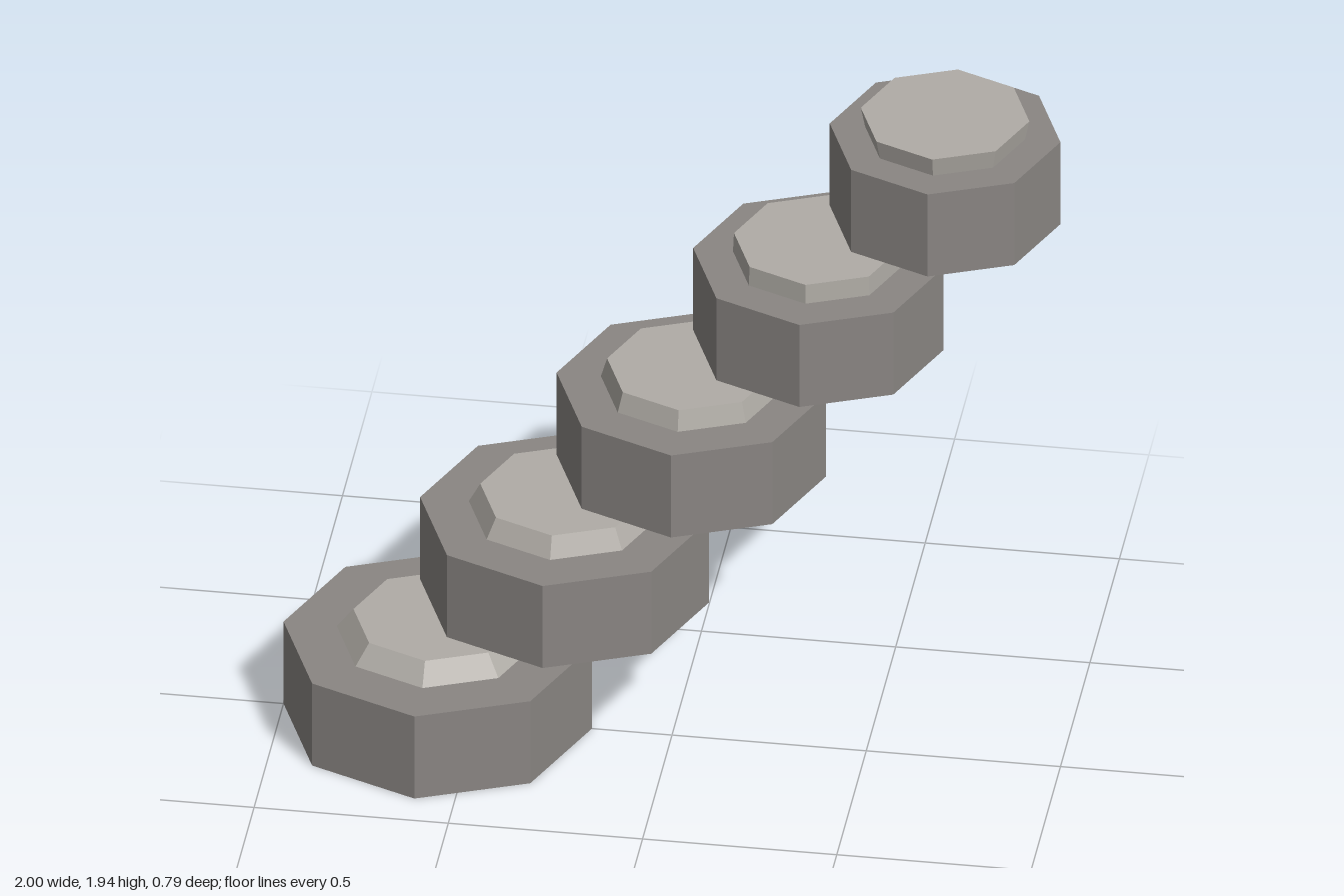
import * as THREE from 'three';

export function createModel() {
  const group = new THREE.Group();
  group.name = 'floatingSteps';
  const stone = new THREE.MeshStandardMaterial({ color: 0x8a8683, flatShading: true });
  stone.name = 'grey stone';
  const paleStone = new THREE.MeshStandardMaterial({ color: 0xb0aca6, flatShading: true });
  paleStone.name = 'pale stone';

  const slabHeight = 0.247;
  const capHeight = 0.055;

  // Octagonal prism or frustum standing on y = bottom
  function octagon(name, topRadius, bottomRadius, height, bottom, material) {
    const mesh = new THREE.Mesh(new THREE.CylinderGeometry(topRadius, bottomRadius, height, 8), material);
    mesh.name = name;
    mesh.position.y = bottom + height / 2;
    return mesh;
  }

  // Five floating steps that rise towards +x and shrink; the caps keep one top size
  for (let i = 0; i < 5; i++) {
    const step = new THREE.Group();
    step.name = `step${i + 1}`;
    const radius = 0.397 - 0.025 * i;
    step.add(octagon('slab', radius, radius, slabHeight, 0, stone));
    step.add(octagon('cap', 0.217, 0.26 - 0.0135 * i, capHeight, slabHeight, paleStone));
    step.position.set(-0.603 + 0.3265 * i, 0.4085 * i, 0);
    group.add(step);
  }
  return group;
}
